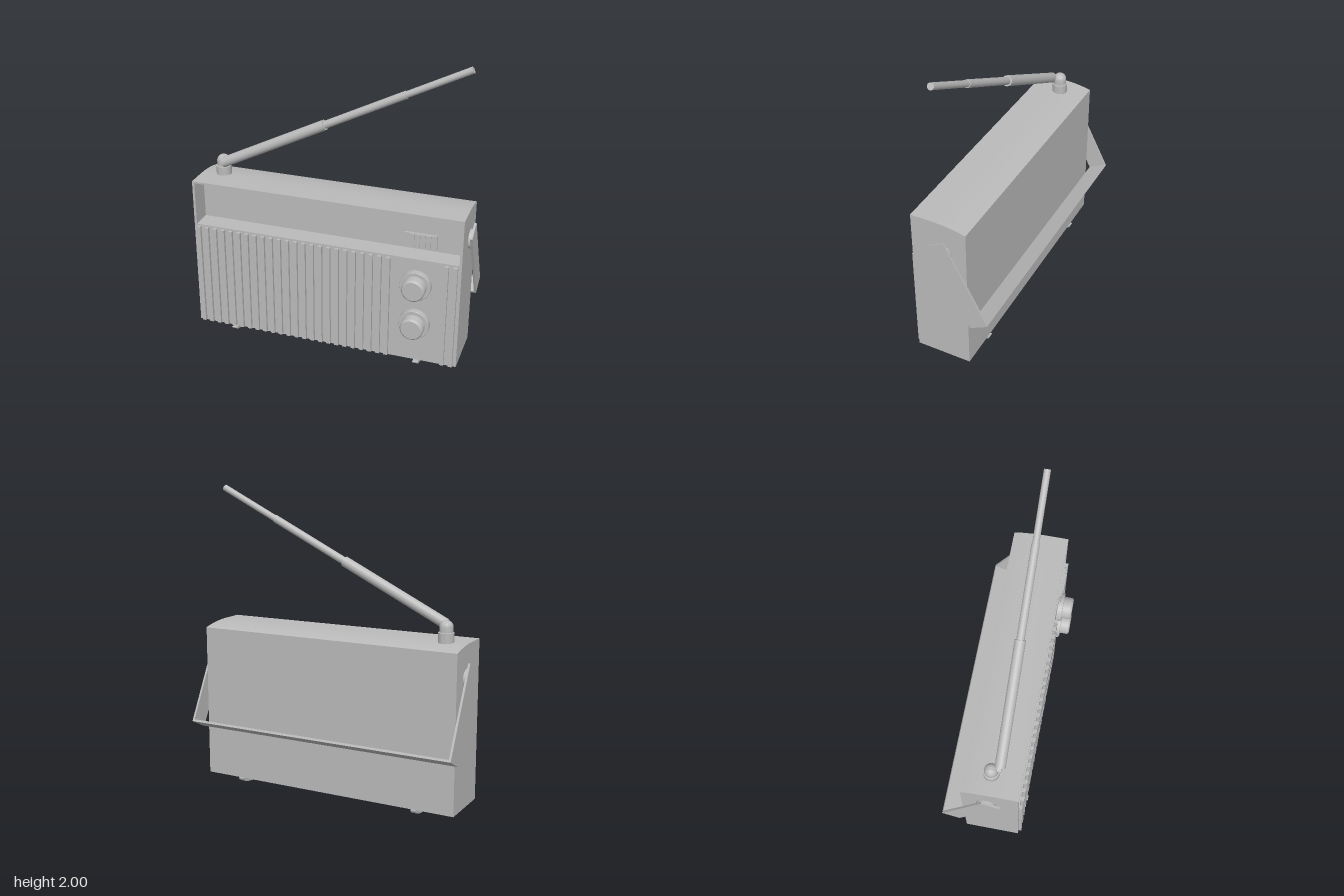
import * as THREE from 'three';
import { toCreasedNormals } from 'three/addons/utils/BufferGeometryUtils.js';

const grey = new THREE.MeshStandardMaterial({ color: 0xbababa });
grey.name = 'grey plastic';

function add(parent, name, geometry, x = 0, y = 0, z = 0) {
  const mesh = new THREE.Mesh(geometry, grey);
  mesh.name = name;
  mesh.position.set(x, y, z);
  parent.add(mesh);
  return mesh;
}

const box = (w, h, d) => new THREE.BoxGeometry(w, h, d);

// Extrudes a (z, y) profile along x, from x0 to x1
function extrudeX(shape, x0, x1) {
  const g = new THREE.ExtrudeGeometry(shape, { depth: x1 - x0, bevelEnabled: false, curveSegments: 16 });
  g.rotateY(-Math.PI / 2);
  g.translate(x1, 0, 0);
  return toCreasedNormals(g, 0.5);
}

// Side profile of the case, with or without the dial recess
function caseProfile(recessed) {
  const s = new THREE.Shape();
  s.moveTo(-0.16, 0.05);
  s.lineTo(0.205, 0.05);
  if (recessed) {
    s.lineTo(0.205, 0.787);
    s.lineTo(0.07, 0.787);
    s.lineTo(0.07, 1.08);
    s.lineTo(0.205, 1.08);
  }
  s.lineTo(0.205, 1.092);
  s.lineTo(0.06, 1.092);
  s.quadraticCurveTo(-0.06, 1.09, -0.16, 1.062);
  s.closePath();
  return s;
}

function lathe(points) {
  const g = new THREE.LatheGeometry(points.map(([r, y]) => new THREE.Vector2(r, y)), 40);
  return toCreasedNormals(g, 0.6);
}

function buildCase(root) {
  const body = new THREE.Group();
  body.name = 'case';
  root.add(body);
  add(body, 'recessedBody', extrudeX(caseProfile(true), -0.882, 0.882));
  add(body, 'rightEnd', extrudeX(caseProfile(false), -0.898, -0.882));
  add(body, 'leftEnd', extrudeX(caseProfile(false), 0.882, 0.898));
  // Curved skids under the case
  const foot = new THREE.Shape();
  foot.moveTo(0.23, 0.05);
  foot.absellipse(0.03, 0.045, 0.2, 0.045, 0, Math.PI, true);
  foot.lineTo(-0.17, 0.05);
  for (const x of [-0.635, 0.635]) add(body, 'foot', extrudeX(foot, x - 0.018, x + 0.018));
}

function buildGrille(root) {
  const grille = new THREE.Group();
  grille.name = 'grille';
  root.add(grille);
  const xs = [0.806, 0.863];
  for (let i = 0; i < 24; i++) xs.push(-0.863 + i * 0.0564);
  for (const x of xs) add(grille, 'rib', box(0.026, 0.72, 0.025), x, 0.415, 0.2125);
}

function buildControls(root) {
  const flange = lathe([[0, 0], [0.1, 0], [0.1, 0.035], [0.097, 0.038], [0, 0.038]]);
  const cap = lathe([[0.075, 0], [0.075, 0.088], [0.072, 0.096], [0.064, 0.102], [0, 0.102]]);
  for (const y of [0.61, 0.33]) {
    const knob = new THREE.Group();
    knob.name = 'knob';
    knob.position.set(0.617, y, 0.203);
    knob.rotation.x = Math.PI / 2;
    root.add(knob);
    add(knob, 'knobFlange', flange);
    add(knob, 'knobCap', cap);
  }
  // Band switch with a ridged thumb piece
  add(root, 'switchPlate', box(0.205, 0.092, 0.016), 0.637, 0.928, 0.216);
  for (let i = 0; i < 4; i++) {
    add(root, 'switchRidge', box(0.03, 0.084, 0.01), 0.586 + i * 0.034, 0.928, 0.227);
  }
}

function buildHandle(root) {
  const handle = new THREE.Group();
  handle.name = 'handle';
  handle.position.set(0, 0.681, -0.1075);
  handle.rotation.x = 0.48;
  root.add(handle);
  add(handle, 'crossBar', box(1.858, 0.015, 0.13), 0, -0.2955, 0);
  for (const side of [-1, 1]) {
    add(handle, 'handleArm', box(0.014, 0.606, 0.13), side * 0.922, 0, 0);
    const hub = add(root, 'pivot', new THREE.CylinderGeometry(0.062, 0.062, 0.03, 32), side * 0.904, 0.88, 0);
    hub.rotation.z = Math.PI / 2;
  }
}

function buildAntenna(root) {
  const antenna = new THREE.Group();
  antenna.name = 'antenna';
  root.add(antenna);
  // Domed swivel
  const dome = [[0.05, 0], [0.05, 0.065], [0.043, 0.067], [0.043, 0.098]];
  for (let i = 1; i <= 8; i++) {
    const a = (i / 8) * Math.PI / 2;
    dome.push([0.043 * Math.cos(a), 0.098 + 0.043 * Math.sin(a)]);
  }
  add(antenna, 'swivel', lathe(dome), -0.757, 1.084, 0.01);
  // Telescopic sections
  const start = new THREE.Vector3(-0.735, 1.19, 0.06);
  const end = new THREE.Vector3(0.862, 1.981, 0.04);
  const dir = end.clone().sub(start).normalize();
  const sections = [[0, 0.437, 0.034], [0.43, 0.757, 0.025], [0.75, 1, 0.021]];
  for (const [a, b, r] of sections) {
    const mid = start.clone().lerp(end, (a + b) / 2);
    const length = start.distanceTo(end) * (b - a);
    const rod = add(antenna, 'antennaSection', new THREE.CylinderGeometry(r, r, length, 24), mid.x, mid.y, mid.z);
    rod.quaternion.setFromUnitVectors(new THREE.Vector3(0, 1, 0), dir);
  }
  const pin = add(antenna, 'hingePin', new THREE.CylinderGeometry(0.02, 0.02, 0.06, 20), -0.745, 1.19, 0.04);
  pin.rotation.x = Math.PI / 2;
}

export function createModel() {
  const root = new THREE.Group();
  root.name = 'portableRadio';
  buildCase(root);
  buildGrille(root);
  buildControls(root);
  buildHandle(root);
  buildAntenna(root);
  return root;
}
